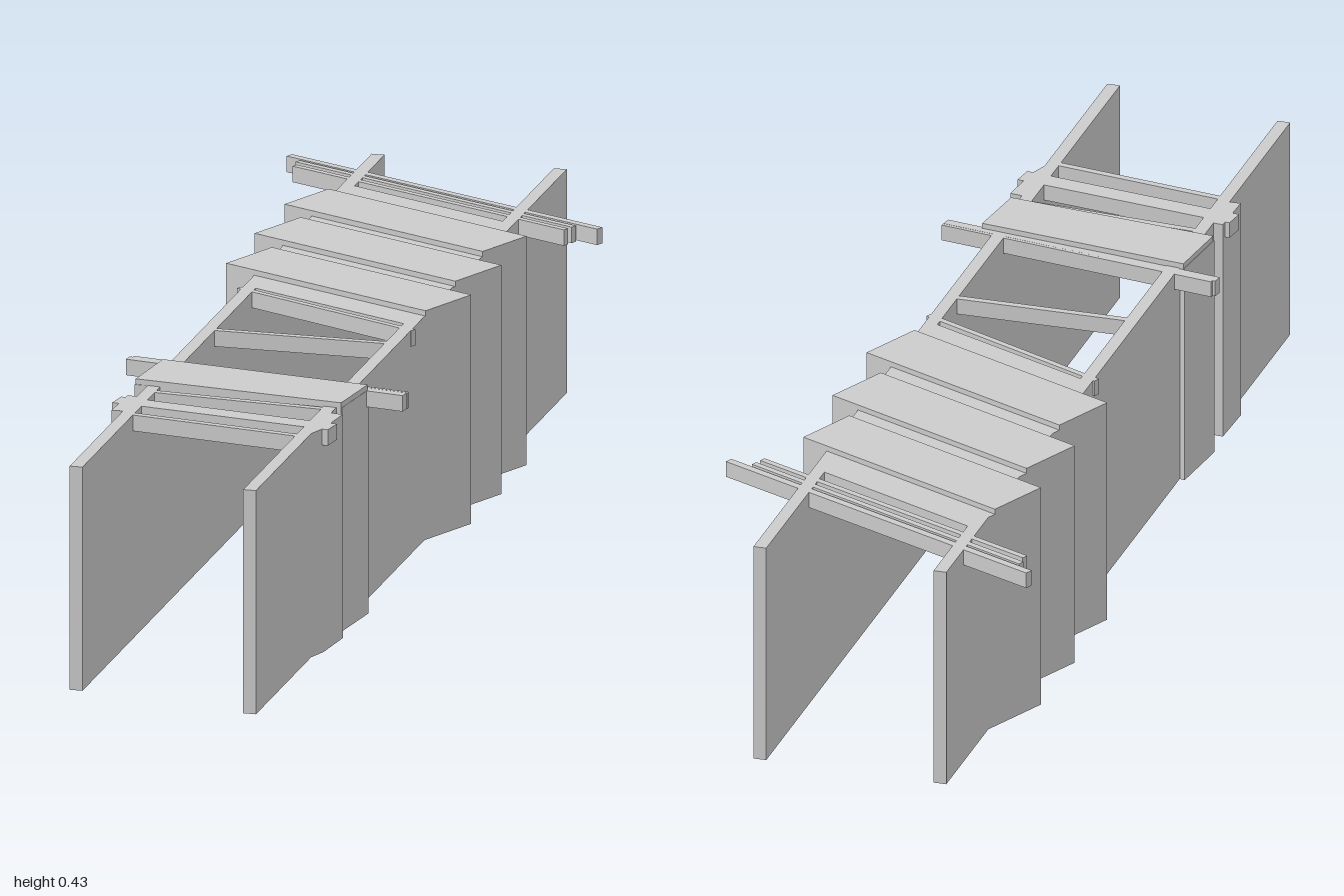
import * as THREE from 'three';

const material = new THREE.MeshStandardMaterial({ color: 0xcccccc, flatShading: true });
const WALL_TOP = 0.42, BEAM_BOTTOM = 0.39, PLATE_TOP = 0.43;

// x of each wall's centreline at a given z
const leftX = (z) => 0.294 + 0.4445 * (z - 0.985);
const rightX = (z) => 0.628 + 0.4445 * (z - 0.9);

export function createModel() {
  const group = new THREE.Group();

  // Upright prism over an [x, z] outline
  const prism = (name, outline, y0, y1) => {
    const shape = new THREE.Shape(outline.map(([x, z]) => new THREE.Vector2(x, -z)));
    const geometry = new THREE.ExtrudeGeometry(shape, { depth: y1 - y0, bevelEnabled: false });
    geometry.rotateX(-Math.PI / 2);
    geometry.translate(0, y0, 0);
    const mesh = new THREE.Mesh(geometry, material);
    mesh.name = name;
    group.add(mesh);
  };

  // Straight bar of given width between two [x, z] points
  const bar = (name, [ax, az], [bx, bz], width, y0 = BEAM_BOTTOM, y1 = WALL_TOP) => {
    const length = Math.hypot(bx - ax, bz - az);
    const mesh = new THREE.Mesh(new THREE.BoxGeometry(length, y1 - y0, width), material);
    mesh.position.set((ax + bx) / 2, (y0 + y1) / 2, (az + bz) / 2);
    mesh.rotation.y = -Math.atan2(bz - az, bx - ax);
    mesh.name = name;
    group.add(mesh);
  };

  // Two long parallel walls
  bar('sideWallRight', [leftX(-0.858), -0.858], [leftX(0.986), 0.986], 0.024, 0, WALL_TOP);
  bar('sideWallLeft', [rightX(-0.997), -0.997], [rightX(0.9), 0.9], 0.024, 0, WALL_TOP);

  // Stepped bays: raised rectangular plate with a buttress outside each wall
  const bays = [
    { x0: -0.436, x1: 0.026, z0: -0.61, z1: -0.486 },
    { x0: -0.362, x1: 0.106, z0: -0.442, z1: -0.312 },
    { x0: -0.283, x1: 0.182, z0: -0.265, z1: -0.136 },
  ];
  let previous = -0.68;
  for (const { x0, x1, z0, z1 } of bays) {
    prism('roofPlate', [[x0, z0], [x1, z0], [x1, z1], [x0, z1]], BEAM_BOTTOM, PLATE_TOP);
    const zl = 0.985 + (x0 - 0.294) / 0.4445;
    const zr = 0.9 + (x1 - 0.628) / 0.4445;
    prism('buttressRight', [[x0, zl], [leftX(z1), z1], [x0, z1]], 0, WALL_TOP);
    prism('buttressLeft', [[rightX(z0), z0], [x1, z0], [x1, zr]], 0, WALL_TOP);
    prism('roofStrip', [[leftX(previous), previous], [rightX(previous), previous],
      [rightX(z0), z0], [leftX(z0), z0]], BEAM_BOTTOM, WALL_TOP);
    previous = z1;
  }
  prism('roofStrip', [[leftX(previous), previous], [rightX(previous), previous],
    [rightX(-0.075), -0.075], [leftX(-0.075), -0.075]], BEAM_BOTTOM, WALL_TOP);

  // Cross beams at the back end
  bar('backBeam', [-0.645, -0.752], [0.075, -0.757], 0.015);
  bar('backBeam', [-0.61, -0.733], [0.032, -0.736], 0.012);
  bar('backBeam', [-0.597, -0.709], [0.032, -0.714], 0.012);

  // Beams over the open middle
  bar('middleBeam', [-0.19, -0.06], [0.22, -0.055], 0.012);
  bar('diagonalBeam', [-0.064, 0.172], [0.236, 0.034], 0.014);

  // Paired projecting beams before the front plate
  bar('frontBeam', [-0.065, 0.405], [0.463, 0.263], 0.018);
  bar('frontBeam', [-0.063, 0.392], [0.46, 0.25], 0.007);

  // Slanted front plate and its buttresses
  prism('frontPlate', [[0.01, 0.397], [0.395, 0.285], [0.43, 0.402], [0.05, 0.522]], BEAM_BOTTOM, PLATE_TOP);
  prism('frontButtressRight', [[leftX(0.397), 0.397], [0.01, 0.4], [0.05, 0.525], [leftX(0.51), 0.51]], 0, WALL_TOP);
  prism('frontButtressLeft', [[rightX(0.295), 0.295], [0.395, 0.283], [0.43, 0.4], [rightX(0.405), 0.405]], 0, WALL_TOP);

  // Narrow plate, its buttresses and the thin beams beside it
  bar('narrowPlate', [0.085, 0.618], [0.492, 0.502], 0.04);
  prism('endButtressRight', [[leftX(0.575), 0.575], [0.083, 0.585], [0.12, 0.675], [leftX(0.66), 0.66]], 0, WALL_TOP);
  prism('endButtressLeft', [[rightX(0.44), 0.44], [0.457, 0.43], [0.486, 0.52], [0.492, 0.59], [rightX(0.585), 0.585]], 0, WALL_TOP);
  bar('thinBeam', [0.1, 0.537], [0.41, 0.422], 0.014);
  bar('thinBeam', [0.155, 0.67], [0.482, 0.58], 0.014);

  return group;
}
